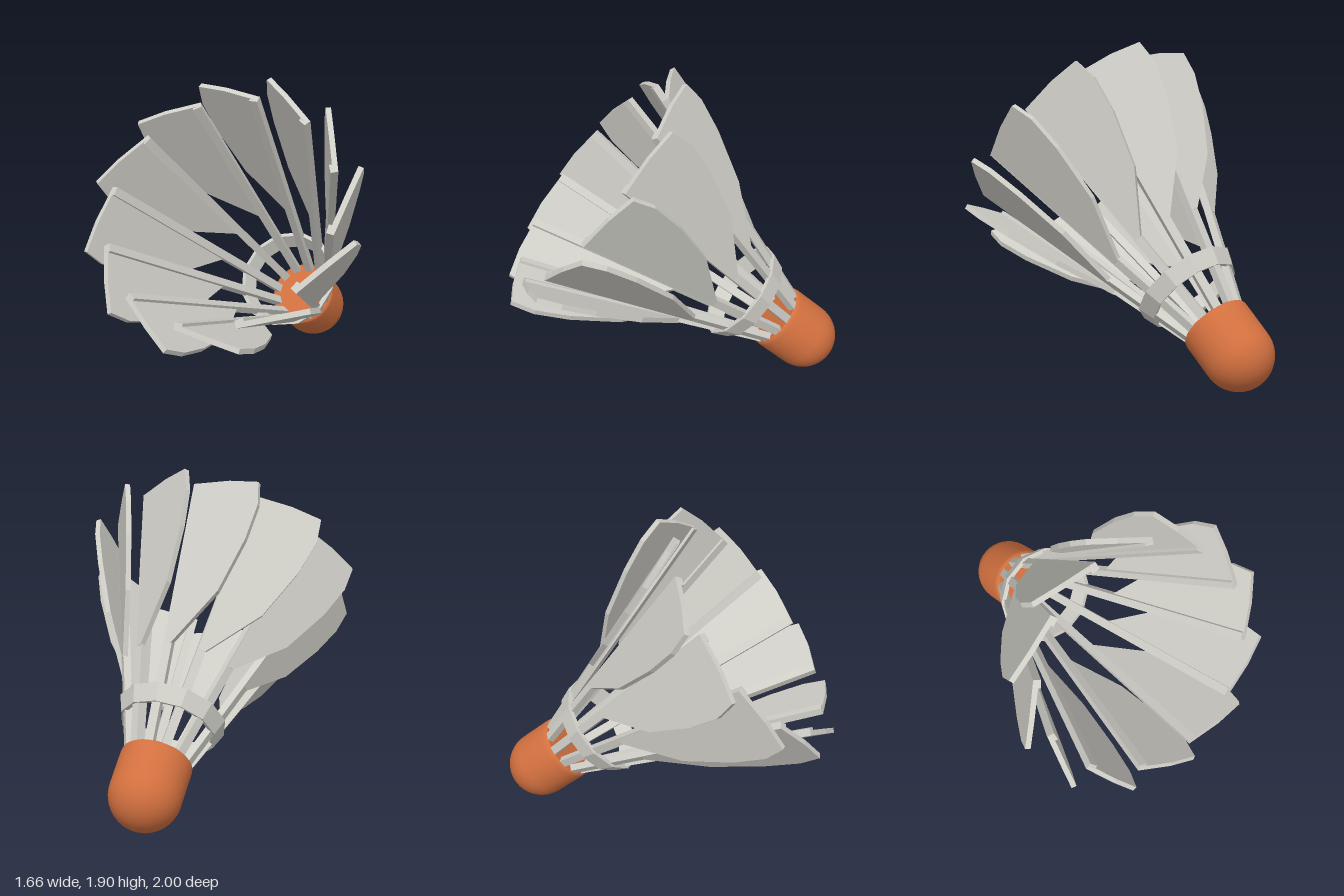
import * as THREE from 'three';
import { toCreasedNormals } from 'three/addons/utils/BufferGeometryUtils.js';

const FEATHERS = 12;
const TILT = THREE.MathUtils.degToRad(19.4); // outward lean of each quill
const QUILL_LENGTH = 1.58;

const corkMaterial = new THREE.MeshStandardMaterial({ color: 0xd2703f });
corkMaterial.name = 'orange cork';
const featherMaterial = new THREE.MeshStandardMaterial({ color: 0xcfcec7 });
featherMaterial.name = 'pale grey feather';

const v2 = ([x, y]) => new THREE.Vector2(x, y);

// Rounded cork: hemisphere, short cylinder, softened rim and flat end
function createCork() {
  const profile = [];
  for (let i = 0; i <= 12; i++) {
    const a = (i / 12) * Math.PI / 2;
    profile.push([0.202 * Math.sin(a), -0.202 * Math.cos(a)]);
  }
  profile.push([0.204, 0.2], [0.201, 0.222], [0.188, 0.234], [0, 0.234]);
  const geometry = toCreasedNormals(new THREE.LatheGeometry(profile.map(v2), 40), 0.7);
  const cork = new THREE.Mesh(geometry, corkMaterial);
  cork.name = 'cork';
  return cork;
}

// Twelve-sided band that holds the quills together
function createBand() {
  const profile = [[0.252, 0.436], [0.277, 0.428], [0.315, 0.526], [0.29, 0.534], [0.252, 0.436]];
  const geometry = new THREE.LatheGeometry(profile.map(v2), FEATHERS).toNonIndexed();
  geometry.computeVertexNormals();
  const band = new THREE.Mesh(geometry, featherMaterial);
  band.name = 'band';
  return band;
}

// One-sided vane outline, measured from the tip of the quill
function createVaneGeometry() {
  const outline = [
    [0.022, -0.97], [0.25, -0.66], [0.36, -0.35], [0.4, -0.14],
    [0.38, 0], [0.2, 0.013], [-0.022, 0], [-0.022, -0.97],
  ];
  const geometry = new THREE.ExtrudeGeometry(new THREE.Shape(outline.map(v2)), {
    depth: 0.03, bevelEnabled: false,
  });
  return geometry.translate(0, 0, -0.007);
}

export function createModel() {
  const model = new THREE.Group();
  model.name = 'shuttlecock';

  const body = new THREE.Group();
  body.name = 'body';
  body.position.set(0, 0.202, -0.799);
  body.rotation.x = THREE.MathUtils.degToRad(50);
  body.add(createCork(), createBand());
  model.add(body);

  // Ring of feathers: each a square quill with a slightly twisted vane
  const quillGeometry = new THREE.BoxGeometry(0.05, QUILL_LENGTH, 0.042)
    .translate(0, -QUILL_LENGTH / 2, 0);
  const vaneGeometry = createVaneGeometry();
  for (let i = 0; i < FEATHERS; i++) {
    const spoke = new THREE.Group();
    spoke.name = `featherSpoke${i + 1}`;
    spoke.rotation.y = (i / FEATHERS) * Math.PI * 2;

    const feather = new THREE.Group();
    feather.name = 'feather';
    feather.position.set(0, 1.674, 0.677);
    feather.rotation.x = TILT;

    const quill = new THREE.Mesh(quillGeometry, featherMaterial);
    quill.name = 'quill';
    const vane = new THREE.Mesh(vaneGeometry, featherMaterial);
    vane.name = 'vane';
    vane.rotation.y = -0.12;

    feather.add(quill, vane);
    spoke.add(feather);
    body.add(spoke);
  }
  return model;
}
